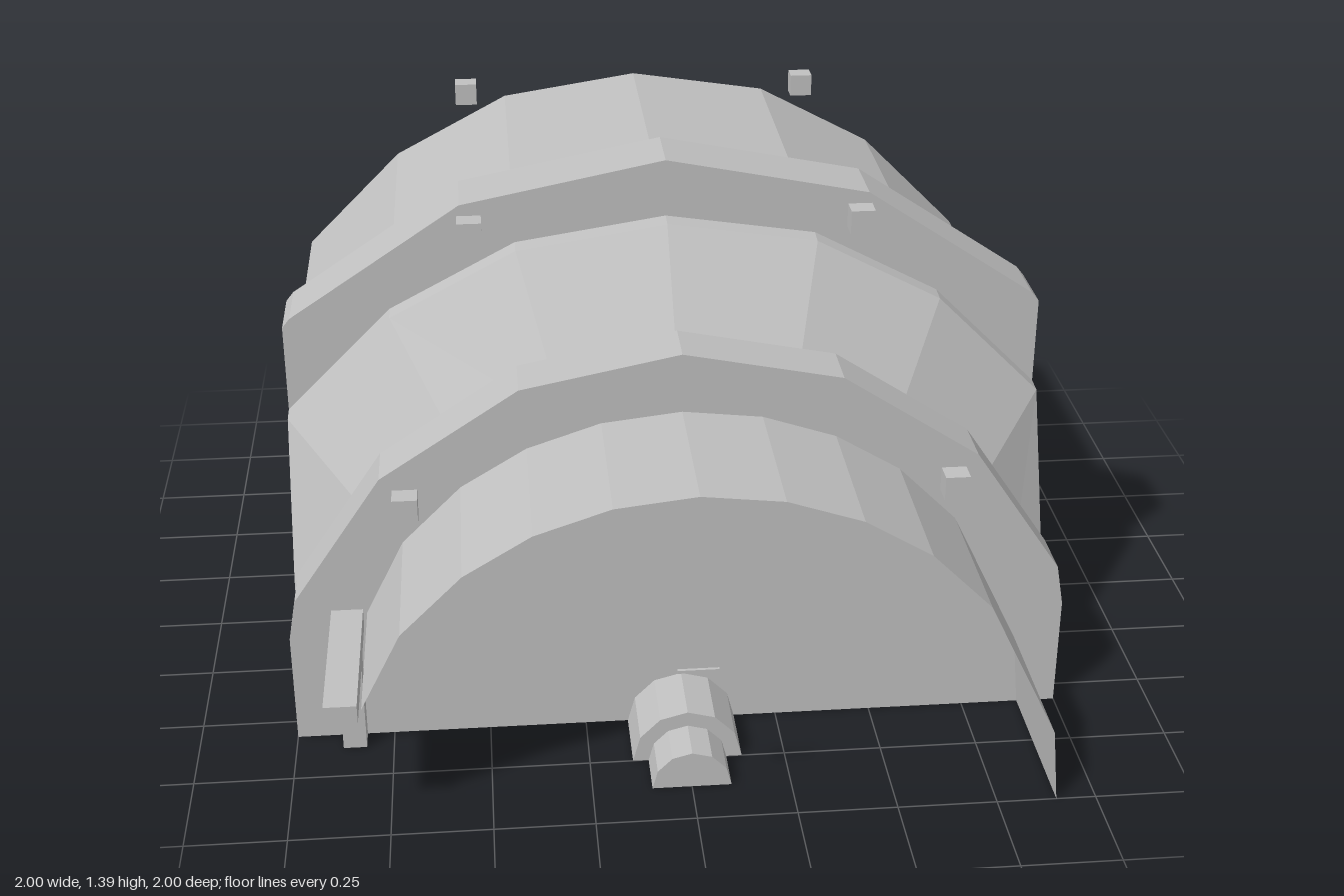
import * as THREE from 'three';

const grey = new THREE.MeshStandardMaterial({ color: 0xc0c0c0, side: THREE.DoubleSide });
grey.name = 'plain grey';

// Half profile from the right foot (+x) to the crown, mirrored into a full arch
const mirror = (half) => [...half, ...half.slice(0, -1).reverse().map(([x, ...r]) => [-x, ...r])];
const atZ = (pts, z, dy = 0) => pts.map(([x, y]) => [x, y + dy, z]);

// Faceted sheet lofted through cross-sections, listed from front to back
function loft(rings) {
  const pos = [];
  for (let r = 0; r < rings.length - 1; r++) {
    for (let i = 0; i < rings[r].length - 1; i++) {
      const a = rings[r][i], b = rings[r][i + 1], c = rings[r + 1][i + 1], d = rings[r + 1][i];
      pos.push(...a, ...d, ...c, ...a, ...c, ...b);
    }
  }
  const g = new THREE.BufferGeometry();
  g.setAttribute('position', new THREE.Float32BufferAttribute(pos, 3));
  g.computeVertexNormals();
  return g;
}

export function createModel() {
  const model = new THREE.Group();
  model.name = 'steppedDrum';
  const add = (name, geometry, x = 0, y = 0, z = 0, parent = model) => {
    const m = new THREE.Mesh(geometry, grey);
    m.name = name;
    m.position.set(x, y, z);
    parent.add(m);
    return m;
  };

  // Rear arched shell, open below
  const rearArch = mirror([[1, 0.72], [0.72, 1], [0.39, 1.175], [0, 1.235]]);
  add('rearShell', loft([atZ(rearArch, 0.16), atZ(rearArch, 0, 0.013),
    atZ(rearArch, -0.2, 0.025), atZ(rearArch, -1, 0.025)]));

  // Flaring cone, trimmed flat at the sides
  const coneFront = mirror([[0.9, 0], [0.87, 0.22], [0.73, 0.53], [0.525, 0.73], [0.285, 0.855], [0, 0.9]]);
  const coneBack = mirror([[1, 0, 0.38], [1, 0.33, 0.335], [1, 0.72, 0.16],
    [0.72, 1, 0.16], [0.39, 1.175, 0.16], [0, 1.235, 0.16]]);
  add('cone', loft([atZ(coneFront, 0.505), coneBack]));

  // Flanges: two full plates joined by a band over the arch only
  const flange = (name, half, front, back) => {
    const group = new THREE.Group();
    group.name = name;
    model.add(group);
    const arch = mirror(half);
    const outline = [[1, 0], ...arch, [-1, 0]].map(([x, y]) => new THREE.Vector2(x, y));
    const plate = new THREE.ShapeGeometry(new THREE.Shape(outline));
    add('frontPlate', plate, 0, 0, front, group);
    add('backPlate', plate, 0, 0, back, group).rotation.y = Math.PI;
    add('band', loft([atZ(arch, front), atZ(arch, back)]), 0, 0, 0, group);
  };
  flange('rearFlange', [[1, 0.96], [0.98, 0.985], [0.53, 1.285], [0, 1.39]], 0.11, -0.065);
  flange('frontFlange', [[1, 0.3], [0.98, 0.41], [0.75, 0.75], [0.4, 0.98], [0, 1.06]], 0.57, 0.43);

  // Front barrel, cut short on its right side
  const barrelHalf = [[0.9, 0], [0.88, 0.2], [0.7, 0.57], [0.55, 0.72], [0.385, 0.82], [0.2, 0.882], [0, 0.905]];
  const barrel = [...mirror(barrelHalf).slice(0, -2), [-0.8, 0.37]];
  add('frontBarrel', loft([atZ(barrel, 1), atZ(barrel, 0.57)]));

  // Sill along the cut edge and the post below it
  add('sill', new THREE.BoxGeometry(0.08, 0.05, 0.43), -0.85, 0.355, 0.785);
  add('post', new THREE.BoxGeometry(0.06, 0.38, 0.06), -0.85, 0.19, 0.6);

  // Stepped half-round boss on the front wall
  for (const [name, r, z0, z1] of [['boss', 0.14, 0.57, 0.75], ['bossTip', 0.1, 0.75, 0.87]]) {
    const g = new THREE.CylinderGeometry(r, r, z1 - z0, 6, 1, false, -Math.PI / 2, Math.PI).rotateX(-Math.PI / 2);
    const flat = g.toNonIndexed();
    flat.computeVertexNormals();
    add(name, flat, 0, 0, (z0 + z1) / 2);
  }
  add('smallSlat', new THREE.BoxGeometry(0.1, 0.008, 0.008), 0, 0.43, 0.995);

  // Square bolts, open at the back
  const bolt = new THREE.BoxGeometry(0.063, 0.063, 0.056);
  bolt.setIndex(Array.from(bolt.index.array).slice(0, 30));
  bolt.clearGroups();
  for (const s of [-1, 1]) {
    add('rearBolt', bolt, s * 0.506, 1.225, -0.972);
    add('middleBolt', bolt, s * 0.506, 1.225, 0.14);
    add('frontBolt', bolt, s * 0.688, 0.688, 0.6);
  }
  return model;
}
